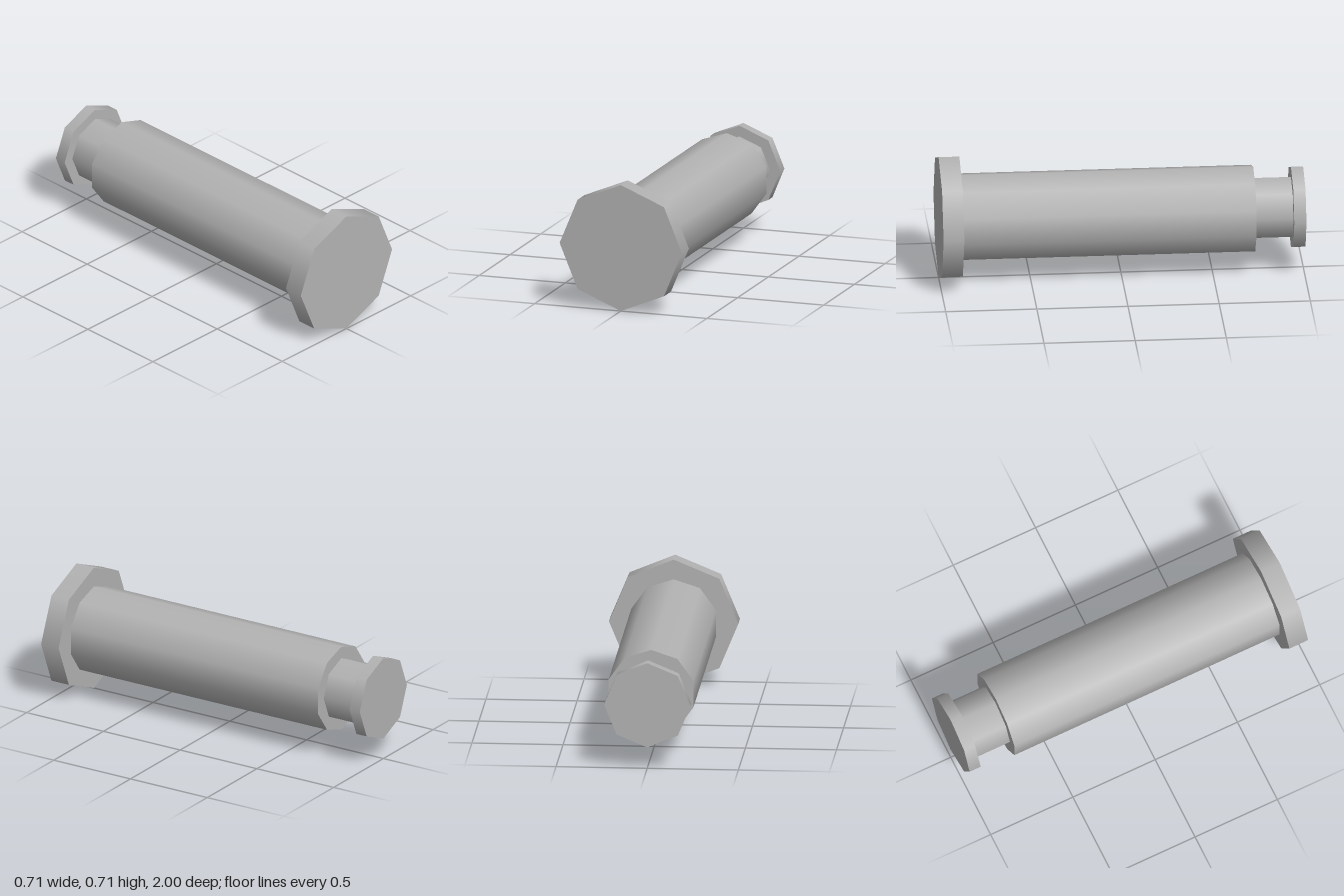
import * as THREE from 'three';

const AXIS_Y = 0.355;

export function createModel() {
  const group = new THREE.Group();
  const steel = new THREE.MeshStandardMaterial({ color: 0xb3b3b3 });
  steel.name = 'grey steel';

  // A low-sided cylinder along z with a corner pointing straight down
  function section(name, radius, sides, zBack, zFront) {
    const geometry = new THREE.CylinderGeometry(radius, radius, zFront - zBack, sides);
    geometry.rotateX(Math.PI / 2);
    const mesh = new THREE.Mesh(geometry, steel);
    mesh.name = name;
    mesh.position.set(0, AXIS_Y, (zBack + zFront) / 2);
    group.add(mesh);
  }

  section('head', 0.355, 8, 0.886, 1);
  section('shaft', 0.244, 10, -0.726, 0.886);
  section('neck', 0.177, 8, -0.933, -0.726);
  section('endFlange', 0.237, 8, -1, -0.933);

  return group;
}
